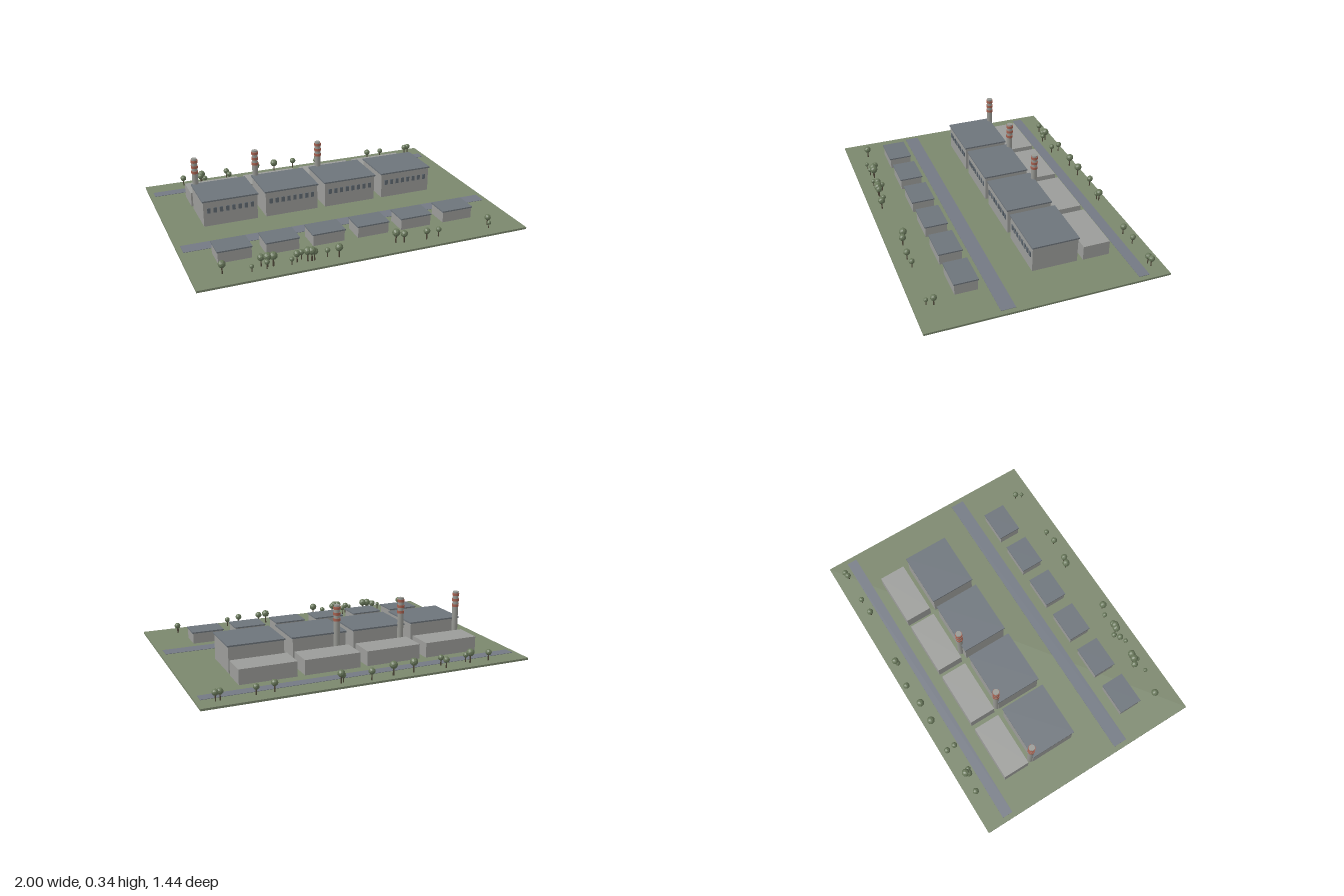
import * as THREE from 'three';

const mat = (name, color) => {
  const m = new THREE.MeshStandardMaterial({ color });
  m.name = name;
  return m;
};

export function createModel() {
  const model = new THREE.Group();
  model.name = 'factorySite';
  const grass = mat('grass', 0x7b876d);
  const asphalt = mat('asphalt', 0x737983);
  const wall = mat('wall', 0x9b9c99);
  const roof = mat('roof', 0x6d747b);
  const glass = mat('glass', 0x5f6870);
  const concrete = mat('concrete', 0x979893);
  const bandRed = mat('bandRed', 0xa5604f);
  const leaf = mat('leaf', 0x68775a);
  const bark = mat('bark', 0x4f4839);

  const G = 0.012; // ground level

  const add = (parent, name, geometry, material, x, y, z) => {
    const mesh = new THREE.Mesh(geometry, material);
    mesh.name = name;
    mesh.position.set(x, y, z);
    parent.add(mesh);
    return mesh;
  };
  // Box given by its base height and its top height
  const box = (parent, name, material, x, z, w, d, y0, y1) =>
    add(parent, name, new THREE.BoxGeometry(w, y1 - y0, d), material, x, (y0 + y1) / 2, z);
  const group = (name) => {
    const g = new THREE.Group();
    g.name = name;
    model.add(g);
    return g;
  };

  // Ground slab and two roads
  box(model, 'ground', grass, 0, 0, 2, 1.44, 0, G);
  box(model, 'backRoad', asphalt, 0, -0.57, 1.94, 0.065, G, G + 0.002);
  box(model, 'frontRoad', asphalt, 0, 0.243, 1.94, 0.087, G, G + 0.002);

  // Main halls with a window row, each with an annex behind
  for (let i = 0; i < 4; i++) {
    const x = -0.614 + i * 0.388;
    const hall = group('hall');
    box(hall, 'hallBody', wall, x, -0.134, 0.335, 0.278, G, 0.168);
    box(hall, 'hallRoof', roof, x, -0.134, 0.346, 0.288, 0.168, 0.177);
    for (let k = 0; k < 8; k++) {
      box(hall, 'window', glass, x + (k - 3.5) * 0.0385, 0.007, 0.02, 0.006, 0.096, 0.128);
    }
    box(hall, 'annex', wall, x, -0.391, 0.343, 0.165, G, 0.102);
  }

  // Chimneys with red bands
  for (const x of [-0.758, -0.371, 0.053]) {
    const chimney = group('chimney');
    const h = 0.343 - G;
    add(chimney, 'shaft', new THREE.CylinderGeometry(0.018, 0.0195, h, 16), concrete, x, G + h / 2, -0.277);
    for (const y of [0.255, 0.29, 0.325]) {
      add(chimney, 'band', new THREE.CylinderGeometry(0.0215, 0.0215, 0.016, 16), bandRed, x, y, -0.277);
    }
  }

  // Small front buildings
  for (let i = 0; i < 6; i++) {
    const x = -0.725 + i * 0.278;
    const shed = group('shed');
    box(shed, 'shedBody', wall, x, 0.41, 0.193, 0.135, G, 0.078);
    box(shed, 'shedRoof', roof, x, 0.41, 0.202, 0.145, 0.078, 0.086);
  }

  // Trees: x, z, crown radius
  const backTrees = [
    [-0.757, -0.66, 0.019], [-0.634, -0.655, 0.024], [-0.645, -0.64, 0.021], [-0.618, -0.63, 0.016],
    [-0.457, -0.68, 0.019], [-0.452, -0.627, 0.018], [-0.249, -0.67, 0.024], [-0.12, -0.67, 0.024],
    [0.024, -0.688, 0.02], [0.184, -0.66, 0.016], [0.2, -0.668, 0.022], [0.575, -0.642, 0.02],
    [0.68, -0.648, 0.018], [0.874, -0.642, 0.019], [0.901, -0.648, 0.019],
  ];
  const frontTrees = [
    [-0.829, 0.592, 0.022], [-0.676, 0.633, 0.013], [-0.612, 0.592, 0.021], [-0.59, 0.63, 0.016],
    [-0.58, 0.61, 0.024], [-0.548, 0.613, 0.024], [-0.452, 0.64, 0.014], [-0.415, 0.62, 0.02],
    [-0.382, 0.598, 0.017], [-0.356, 0.63, 0.024], [-0.334, 0.636, 0.024], [-0.318, 0.633, 0.021],
    [-0.238, 0.625, 0.016], [-0.179, 0.65, 0.023], [0.19, 0.61, 0.024], [0.235, 0.625, 0.021],
    [0.374, 0.637, 0.02], [0.455, 0.63, 0.017], [0.8, 0.605, 0.019], [0.786, 0.644, 0.013],
  ];
  for (const [x, z, r] of [...backTrees, ...frontTrees]) {
    const tree = group('tree');
    const h = r * 2.65;
    add(tree, 'trunk', new THREE.CylinderGeometry(r * 0.14, r * 0.2, h, 6), bark, x, G + h / 2, z);
    const crown = new THREE.IcosahedronGeometry(r, 1);
    crown.computeVertexNormals(); // faceted crown
    add(tree, 'crown', crown, leaf, x, G + h, z);
  }

  return model;
}
